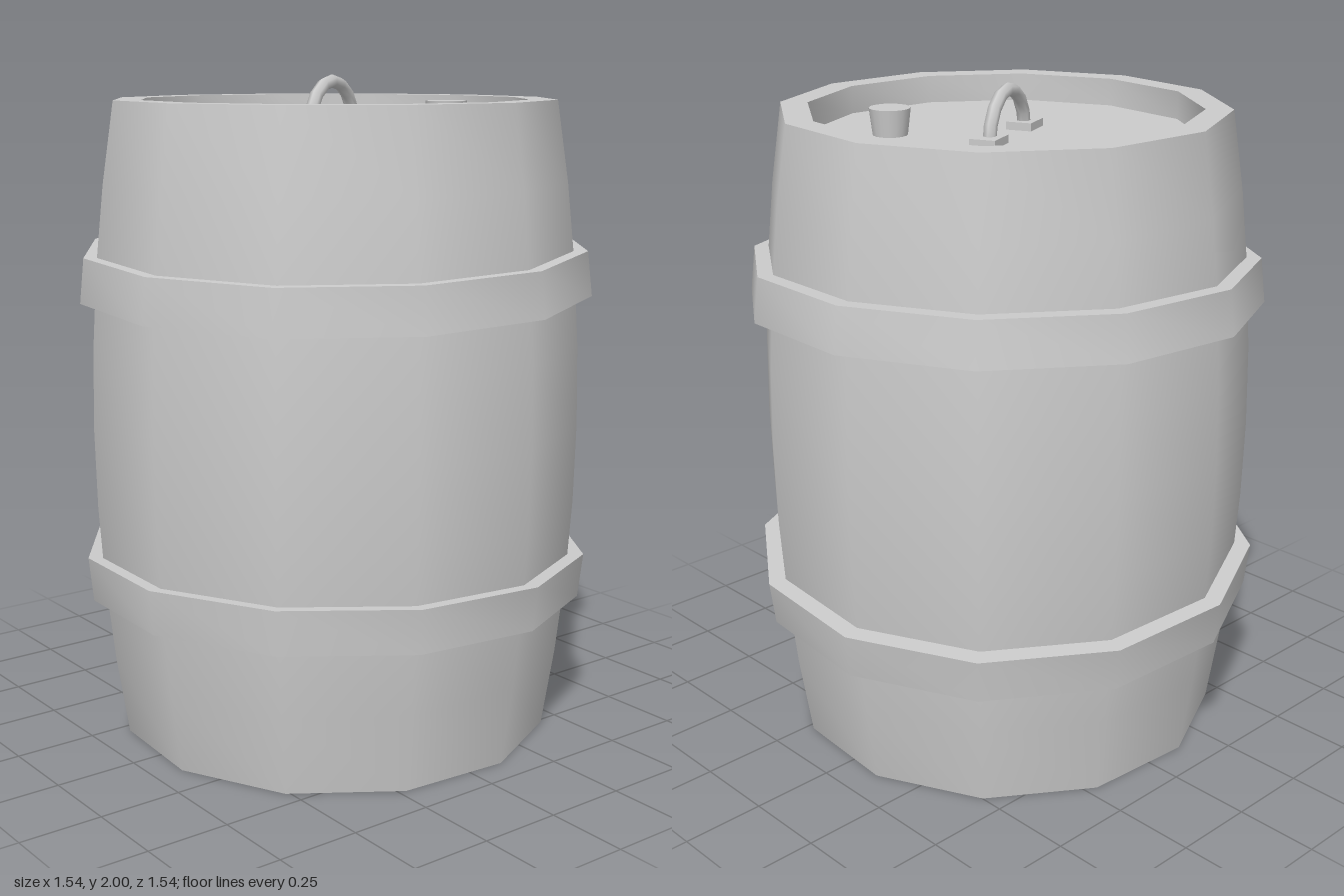
import * as THREE from 'three';
import { toCreasedNormals } from 'three/addons/utils/BufferGeometryUtils.js';

const HEIGHT = 1.93, RIM = 0.667, OPENING = 0.585, RECESS = 0.085;
const LID = HEIGHT - RECESS, SIDES = 12;
const material = new THREE.MeshStandardMaterial({ color: 0xcccccc });

function part(name, geometry, x = 0, y = 0, z = 0) {
  const mesh = new THREE.Mesh(geometry, material);
  mesh.name = name;
  mesh.position.set(x, y, z);
  return mesh;
}

// Twelve-sided turned shape, smooth around and sharp at its rims
function turned(profile) {
  const points = profile.map(([r, y]) => new THREE.Vector2(r, y));
  const turn = THREE.MathUtils.degToRad(10.7);
  return toCreasedNormals(new THREE.LatheGeometry(points, SIDES, turn), 0.7);
}

export function createModel() {
  const model = new THREE.Group();
  model.name = 'barrel';

  // Bulging body with a recessed lid and base
  const profile = [[0, RECESS], [OPENING, RECESS], [OPENING, 0]];
  const steps = 8;
  for (let i = 0; i <= steps; i++) {
    const t = (2 * i) / steps - 1;
    profile.push([RIM + 0.083 * (1 - t * t), (HEIGHT * i) / steps]);
  }
  profile.push([OPENING, HEIGHT], [OPENING, LID], [0, LID]);
  model.add(part('body', turned(profile), -0.007, 0, 0.007));

  // Two slightly tilted hoops, tapering away from the middle
  for (const side of [1, -1]) {
    const low = side > 0 ? 0.783 : 0.768;
    const high = side > 0 ? 0.768 : 0.783;
    const h = 0.067;
    const hoop = part(
      side > 0 ? 'upperHoop' : 'lowerHoop',
      turned([[0.7, -h], [low, -h], [high, h], [0.7, h], [0.7, -h]]),
      0, side > 0 ? 1.424 : 0.487, 0
    );
    hoop.rotation.set(0.024 * side, 0, 0.026 * side);
    model.add(hoop);
  }

  // Arched carrying handle on two foot plates
  const handle = new THREE.Group();
  handle.name = 'handle';
  handle.position.set(0.003, LID, -0.015);
  handle.rotation.y = THREE.MathUtils.degToRad(24);
  handle.add(part('handleArch', new THREE.TorusGeometry(0.136, 0.02, 6, 8, Math.PI)));
  for (const side of [-1, 1]) {
    handle.add(part('handleFoot', new THREE.BoxGeometry(0.1, 0.024, 0.08), 0.14 * side, 0.012, 0));
  }
  model.add(handle);

  // Tapered stopper in the lid
  model.add(part('stopper', new THREE.CylinderGeometry(0.062, 0.052, 0.08, 16), 0.235, LID + 0.04, 0.24));

  return model;
}
